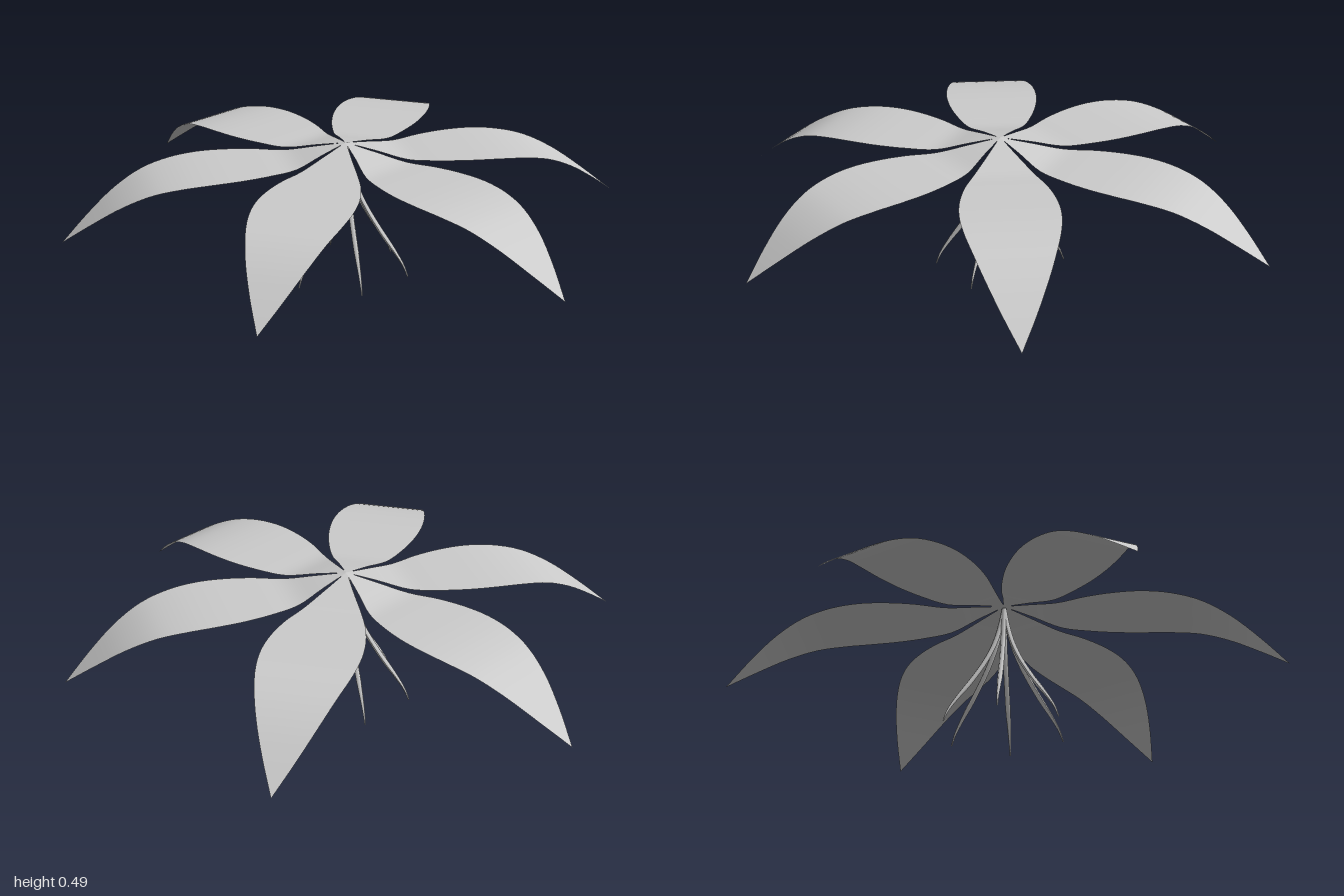
import * as THREE from 'three';

const COUNT = 6;
const TURN = THREE.MathUtils.degToRad(7);

// Petal outline along its length: distance from centre, height, half width
const PETAL = [
  [0.0, 0.49, 0.002], [0.1, 0.468, 0.05], [0.2, 0.445, 0.101], [0.3, 0.445, 0.138],
  [0.4, 0.445, 0.16], [0.5, 0.443, 0.167], [0.6, 0.434, 0.158], [0.7, 0.412, 0.135],
  [0.8, 0.365, 0.101], [0.9, 0.296, 0.055], [1.0, 0.217, 0.0],
];

// Thin petal sheet: flat across, bent along its length
function petalGeometry() {
  const rows = 40, cols = 4;
  const curve = new THREE.CatmullRomCurve3(PETAL.map((p) => new THREE.Vector3(...p)));
  const geo = new THREE.PlaneGeometry(1, 1, cols, rows);
  const pos = geo.attributes.position;
  for (let i = 0; i <= rows; i++) {
    const p = curve.getPoint(i / rows);
    for (let j = 0; j <= cols; j++) {
      const side = 1 - (2 * j) / cols;
      pos.setXYZ(i * (cols + 1) + j, p.x, p.y, side * p.z);
    }
  }
  // keep the upper side as the front
  geo.computeVertexNormals();
  if (geo.attributes.normal.getY(20 * (cols + 1) + 2) < 0) {
    geo.index.array.reverse();
    geo.computeVertexNormals();
  }
  return geo;
}

// Drooping thread, tapered towards its lower end
function threadGeometry() {
  const steps = 28, sides = 6;
  const path = new THREE.CatmullRomCurve3([
    [0, 0.48], [0.012, 0.42], [0.035, 0.34], [0.072, 0.26],
    [0.128, 0.17], [0.185, 0.09], [0.213, 0.045], [0.229, 0.004],
  ].map(([r, y]) => new THREE.Vector3(r, y, 0)));
  const geo = new THREE.TubeGeometry(path, steps, 0.009, sides);
  const pos = geo.attributes.position;
  const v = new THREE.Vector3();
  for (let i = 0; i <= steps; i++) {
    const t = i / steps;
    const centre = path.getPointAt(t);
    const scale = t < 0.7 ? 1 : 1 - 0.75 * ((t - 0.7) / 0.3);
    for (let j = 0; j <= sides; j++) {
      const k = i * (sides + 1) + j;
      v.fromBufferAttribute(pos, k).sub(centre).multiplyScalar(scale).add(centre);
      pos.setXYZ(k, v.x, v.y, v.z);
    }
  }
  geo.computeVertexNormals();
  return geo;
}

export function createModel() {
  const flower = new THREE.Group();
  flower.name = 'flower';
  const material = new THREE.MeshStandardMaterial({ color: 0xcccccc, side: THREE.DoubleSide });

  // Ring of copies around the vertical axis
  const ring = (name, geometry, start) => {
    const group = new THREE.Group();
    group.name = name + 's';
    for (let i = 0; i < COUNT; i++) {
      const mesh = new THREE.Mesh(geometry, material);
      mesh.name = name;
      mesh.rotation.y = -(start + (i * 2 * Math.PI) / COUNT);
      group.add(mesh);
    }
    flower.add(group);
  };

  ring('petal', petalGeometry(), TURN);
  // threads hang in the gaps between the petals
  ring('stamen', threadGeometry(), TURN + Math.PI / COUNT);
  return flower;
}
